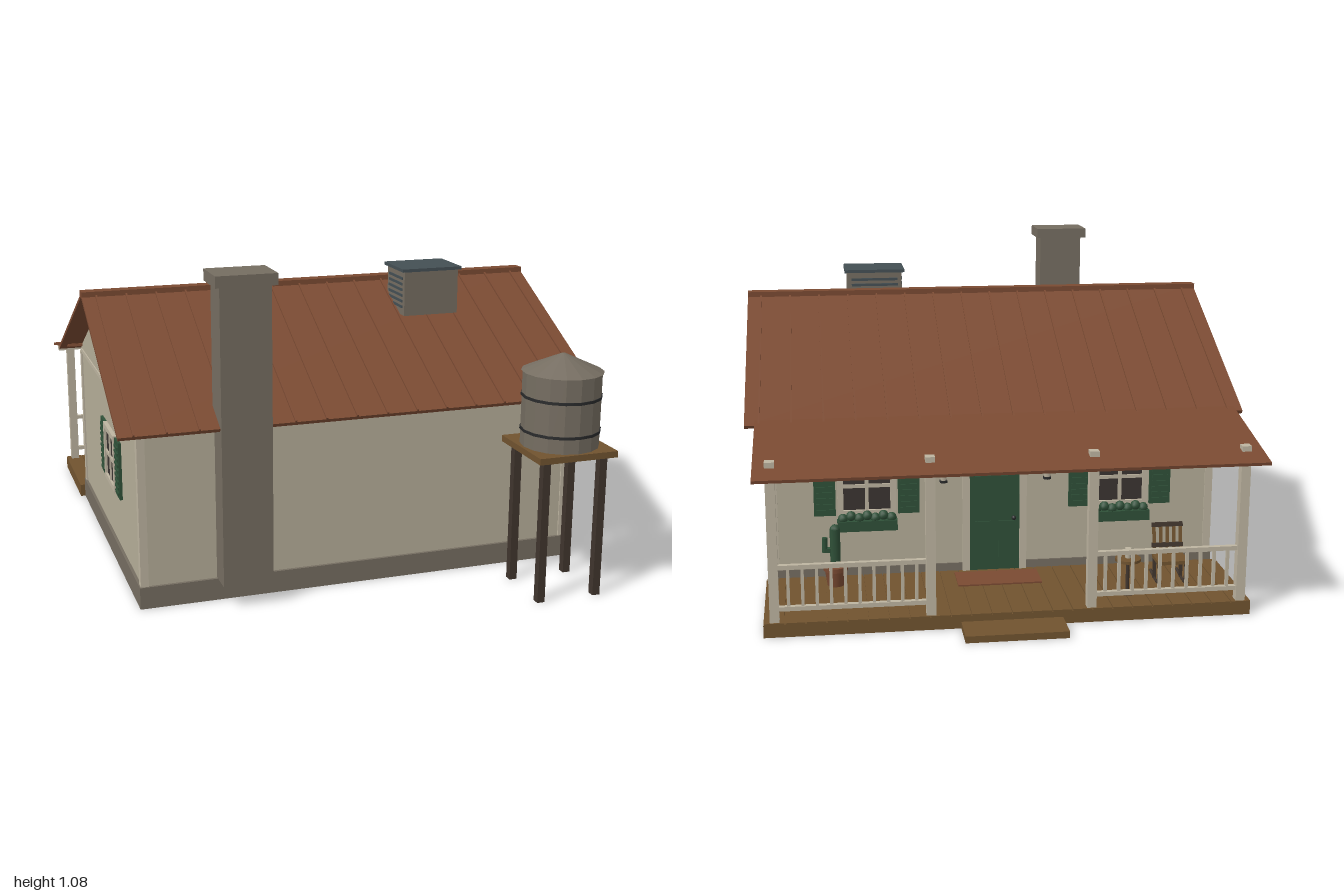
import * as THREE from 'three';

const material = (name, color, extra = {}) => {
  const m = new THREE.MeshStandardMaterial({ color, ...extra });
  m.name = name;
  return m;
};

export function createModel() {
  const wall = material('cream wall', 0xb5ad98);
  const trim = material('pale trim', 0xbdb4a0);
  const stone = material('grey stone', 0x756d61, { flatShading: true });
  const rust = material('rust red', 0x7a4a32);
  const wood = material('deck wood', 0x70532f);
  const darkWood = material('dark wood', 0x40352d);
  const green = material('dark green', 0x2f5038);
  const glass = material('window glass', 0x3a3431);
  const slate = material('slate blue', 0x444f54);
  const iron = material('black iron', 0x292a2b);

  const model = new THREE.Group();
  model.name = 'farmhouse';

  const group = (name, parent = model) => {
    const g = new THREE.Group();
    g.name = name;
    parent.add(g);
    return g;
  };
  const add = (parent, name, geo, mat, x = 0, y = 0, z = 0) => {
    const m = new THREE.Mesh(geo, mat);
    m.name = name;
    m.position.set(x, y, z);
    parent.add(m);
    return m;
  };
  // box given by its limits on each axis
  const box = (parent, name, mat, x0, x1, y0, y1, z0, z1) =>
    add(parent, name, new THREE.BoxGeometry(x1 - x0, y1 - y0, z1 - z0), mat,
      (x0 + x1) / 2, (y0 + y1) / 2, (z0 + z1) / 2);
  const cyl = (parent, name, mat, rTop, rBottom, y0, y1, x, z, sides = 16) =>
    add(parent, name, new THREE.CylinderGeometry(rTop, rBottom, y1 - y0, sides), mat, x, (y0 + y1) / 2, z);
  // sloping board whose top edge runs from (z0, y0) to (z1, y1)
  const slope = (parent, name, mat, x0, x1, [z0, y0], [z1, y1], thick, lift = 0) => {
    const dz = z1 - z0, dy = y1 - y0, len = Math.hypot(dz, dy);
    const up = Math.sign(dz), off = lift - thick / 2;
    const m = add(parent, name, new THREE.BoxGeometry(x1 - x0, thick, len), mat, (x0 + x1) / 2,
      (y0 + y1) / 2 + off * up * dz / len, (z0 + z1) / 2 - off * up * dy / len);
    m.rotation.x = -Math.atan(dy / dz);
    return m;
  };

  // foundation, gabled walls and corner boards
  const house = group('house');
  box(house, 'foundation', stone, -0.76, 0.755, 0, 0.073, -0.5, 0.635);
  const gable = new THREE.Shape([[-0.625, 0.073], [0.495, 0.073], [0.495, 0.615], [-0.065, 0.905], [-0.625, 0.615]]
    .map(([a, b]) => new THREE.Vector2(a, b)));
  const walls = add(house, 'walls', new THREE.ExtrudeGeometry(gable, { depth: 1.496, bevelEnabled: false }), wall, -0.75);
  walls.rotation.y = Math.PI / 2;
  for (const x of [-0.756, 0.726])
    for (const z of [-0.5, 0.602]) box(house, 'cornerBoard', trim, x, x + 0.026, 0.073, 0.595, z, z + 0.028);
  for (const x of [-0.754, 0.742]) box(house, 'gableBand', trim, x, x + 0.008, 0.59, 0.605, -0.497, 0.627);

  // main roof with standing seams
  const roof = group('roof');
  const ridge = [0.062, 0.925];
  for (const eave of [[0.703, 0.598], [-0.58, 0.598]]) {
    slope(roof, 'roofPanel', rust, -0.825, 0.82, eave, ridge, 0.012);
    for (let i = 0; i < 16; i++) {
      const x = -0.776 + i * 0.1033;
      slope(roof, 'roofSeam', rust, x - 0.003, x + 0.003, eave, ridge, 0.008, 0.006);
    }
  }
  box(roof, 'ridgeCap', rust, -0.825, 0.82, 0.914, 0.932, 0.038, 0.084);

  // chimney
  const chimney = group('chimney');
  box(chimney, 'chimneyStack', stone, -0.505, -0.34, 0.075, 1.045, 0.605, 0.715);
  box(chimney, 'chimneyCap', stone, -0.522, -0.325, 1.045, 1.082, 0.587, 0.735);

  // rooftop cooler with louvres
  const cooler = group('roofCooler');
  box(cooler, 'coolerBody', stone, 0.26, 0.46, 0.825, 0.98, 0.148, 0.308);
  box(cooler, 'coolerLid', slate, 0.25, 0.47, 0.98, 0.991, 0.138, 0.316);
  box(cooler, 'coolerDuct', stone, 0.32, 0.4, 0.76, 0.83, 0.19, 0.27);
  for (let i = 0; i < 6; i++) {
    const y = 0.85 + i * 0.02;
    box(cooler, 'coolerLouvre', slate, 0.275, 0.445, y, y + 0.009, 0.143, 0.15);
    box(cooler, 'coolerLouvre', slate, 0.257, 0.262, y, y + 0.009, 0.165, 0.29);
  }

  // water tank on its stand
  const tower = group('waterTower');
  const tx = 0.582, tz = 0.865;
  for (const sx of [-1, 1])
    for (const sz of [-1, 1])
      box(tower, 'standLeg', darkWood, tx + sx * 0.1 - 0.013, tx + sx * 0.1 + 0.013, 0, 0.478,
        tz + sz * 0.1 - 0.013, tz + sz * 0.1 + 0.013);
  box(tower, 'standPlatform', wood, tx - 0.137, tx + 0.137, 0.476, 0.497, tz - 0.137, tz + 0.135);
  cyl(tower, 'tank', stone, 0.127, 0.127, 0.497, 0.74, tx, tz);
  cyl(tower, 'tankRoof', stone, 0.006, 0.132, 0.74, 0.797, tx, tz);
  for (const y of [0.545, 0.657]) cyl(tower, 'tankBand', iron, 0.13, 0.13, y, y + 0.009, tx, tz);
  const pipePath = new THREE.CatmullRomCurve3([[0.56, 0.75], [0.65, 0.685], [0.735, 0.62]]
    .map(([x, z]) => new THREE.Vector3(x, 0.513, z)));
  add(tower, 'pipe', new THREE.TubeGeometry(pipePath, 4, 0.008, 8), iron);

  // shuttered window, built facing +z on its wall plane
  const makeWindow = (x, z, turn) => {
    const w = group('window');
    w.position.set(x, 0.36, z);
    w.rotation.y = turn;
    box(w, 'windowGlass', glass, -0.085, 0.085, -0.09, 0.09, 0, 0.006);
    for (const s of [-1, 1]) {
      box(w, 'windowJamb', trim, s * 0.088 - 0.01, s * 0.088 + 0.01, -0.1, 0.1, 0, 0.014);
      box(w, 'windowRail', trim, -0.097, 0.097, s * 0.092 - 0.009, s * 0.092 + 0.009, 0, 0.014);
      const c = s * 0.14;
      box(w, 'shutter', green, c - 0.036, c + 0.036, -0.1, 0.1, 0, 0.01);
      for (let i = 0; i < 9; i++)
        box(w, 'shutterSlat', green, c - 0.028, c + 0.028, -0.088 + i * 0.02, -0.078 + i * 0.02, 0.01, 0.014);
    }
    box(w, 'verticalBar', trim, -0.006, 0.006, -0.09, 0.09, 0, 0.011);
    box(w, 'middleBar', trim, -0.09, 0.09, -0.006, 0.006, 0, 0.011);
    return w;
  };
  const sideWindow = makeWindow(0.746, 0.14, Math.PI / 2);
  makeWindow(-0.75, 0.14, -Math.PI / 2);

  // air conditioner in the right-hand side window
  const unit = group('airConditioner', sideWindow);
  box(unit, 'unitBody', trim, -0.053, 0.053, -0.092, -0.006, 0, 0.073);
  for (let i = 0; i < 5; i++)
    box(unit, 'unitGrille', glass, -0.044, 0.044, -0.08 + i * 0.014, -0.075 + i * 0.014, 0.072, 0.075);

  // porch windows with flower boxes
  for (const x of [-0.43, 0.43]) {
    const w = makeWindow(x, -0.495, Math.PI);
    box(w, 'flowerBox', green, -0.1, 0.1, -0.15, -0.115, 0, 0.037);
    for (let i = 0; i < 7; i++)
      add(w, 'foliage', new THREE.IcosahedronGeometry(0.017, 1), green, -0.081 + i * 0.027, -0.108 + (i % 2) * 0.008, 0.019);
  }

  // door, header board and lanterns
  const entry = group('entry');
  box(entry, 'door', green, -0.085, 0.085, 0.045, 0.42, -0.503, -0.49);
  for (const s of [-1, 1]) {
    box(entry, 'doorJamb', trim, s * 0.097 - 0.012, s * 0.097 + 0.012, 0.045, 0.44, -0.508, -0.49);
    for (const y of [0.09, 0.25])
      box(entry, 'doorPanel', green, s * 0.04 - 0.027, s * 0.04 + 0.027, y, y + 0.13, -0.508, -0.5);
    const lx = s * 0.175;
    box(entry, 'lanternArm', iron, lx - 0.006, lx + 0.006, 0.425, 0.434, -0.525, -0.49);
    cyl(entry, 'lanternRoof', iron, 0.004, 0.021, 0.415, 0.44, lx, -0.523, 6);
    cyl(entry, 'lanternGlass', trim, 0.014, 0.011, 0.375, 0.415, lx, -0.523, 6);
    cyl(entry, 'lanternBase', iron, 0.014, 0.014, 0.368, 0.376, lx, -0.523, 6);
  }
  box(entry, 'doorHead', trim, -0.109, 0.109, 0.42, 0.44, -0.508, -0.49);
  add(entry, 'doorKnob', new THREE.SphereGeometry(0.008, 10, 8), iron, -0.065, 0.23, -0.51);
  box(entry, 'headerBoard', green, -0.2, 0.2, 0.545, 0.6, -0.504, -0.49);

  // porch deck, step and mat
  const porch = group('porch');
  box(porch, 'deckBase', wood, -0.777, 0.77, 0, 0.04, -0.885, -0.5);
  for (let i = 0; i < 24; i++) {
    const x = -0.777 + i * 0.06446;
    box(porch, 'deckBoard', wood, x, x + 0.0615, 0.04, 0.046, -0.885, -0.5);
  }
  box(porch, 'step', wood, -0.167, 0.157, 0, 0.022, -1, -0.885);
  box(porch, 'doorMat', rust, -0.14, 0.14, 0.046, 0.051, -0.65, -0.53);

  // porch roof, posts and railings
  slope(porch, 'porchRoof', rust, -0.8, 0.787, [-0.472, 0.627], [-0.955, 0.527], 0.01);
  box(porch, 'porchBeam', trim, -0.792, 0.78, 0.515, 0.537, -0.88, -0.85);
  const posts = [-0.745, -0.26, 0.25, 0.735];
  for (const x of posts) {
    box(porch, 'post', trim, x - 0.015, x + 0.015, 0.046, 0.56, -0.88, -0.85);
    box(porch, 'postCap', trim, x - 0.022, x + 0.022, 0.52, 0.537, -0.887, -0.843);
  }
  for (const i of [0, 2]) {
    const a = posts[i], b = posts[i + 1];
    for (const y of [0.08, 0.215]) box(porch, 'rail', trim, a, b, y, y + 0.014, -0.873, -0.857);
    for (let k = 1; k < 11; k++) {
      const x = a + (b - a) * k / 11;
      box(porch, 'baluster', trim, x - 0.005, x + 0.005, 0.085, 0.22, -0.87, -0.86);
    }
  }

  // potted cactus
  const plant = group('pottedCactus');
  plant.position.set(0.54, 0, -0.578);
  cyl(plant, 'pot', rust, 0.036, 0.028, 0.046, 0.1, 0, 0);
  cyl(plant, 'potRim', rust, 0.04, 0.04, 0.098, 0.113, 0, 0);
  cyl(plant, 'cactusStem', green, 0.017, 0.017, 0.11, 0.24, 0, 0, 8);
  add(plant, 'cactusTop', new THREE.SphereGeometry(0.017, 8, 6), green, 0, 0.238, 0);
  box(plant, 'cactusElbow', green, 0, 0.036, 0.16, 0.174, -0.008, 0.008);
  cyl(plant, 'cactusArm', green, 0.009, 0.009, 0.16, 0.21, 0.034, 0, 8);

  // rocking chair facing away from the house
  const chair = group('rockingChair');
  chair.position.set(-0.56, 0, -0.7);
  for (const s of [-1, 1]) {
    const x = s * 0.045;
    const rocker = new THREE.QuadraticBezierCurve3(new THREE.Vector3(x, 0.066, 0.075),
      new THREE.Vector3(x, 0.044, 0), new THREE.Vector3(x, 0.066, -0.072));
    add(chair, 'rocker', new THREE.TubeGeometry(rocker, 8, 0.005, 6), darkWood);
    for (const z of [-0.035, 0.028]) box(chair, 'chairLeg', darkWood, x - 0.005, x + 0.005, 0.055, 0.13, z - 0.005, z + 0.005);
  }
  box(chair, 'chairSeat', wood, -0.052, 0.052, 0.125, 0.137, -0.045, 0.035);
  const back = group('chairBack', chair);
  back.position.set(0, 0.13, 0.032);
  back.rotation.x = 0.18;
  for (let i = 0; i < 5; i++) box(back, 'backSlat', wood, -0.05 + i * 0.0225, -0.04 + i * 0.0225, 0, 0.11, -0.004, 0.004);
  for (const y of [0.03, 0.098]) box(back, 'backRail', darkWood, -0.052, 0.052, y, y + 0.014, -0.006, 0.006);

  // small table with a cup
  const table = group('sideTable');
  table.position.set(-0.4, 0, -0.77);
  cyl(table, 'tableFoot', darkWood, 0.01, 0.026, 0.046, 0.056, 0, 0);
  cyl(table, 'tableStem', darkWood, 0.006, 0.006, 0.05, 0.16, 0, 0, 8);
  cyl(table, 'tableTop', wood, 0.042, 0.042, 0.158, 0.167, 0, 0, 20);
  cyl(table, 'cup', trim, 0.011, 0.009, 0.167, 0.2, 0, 0, 10);

  return model;
}
